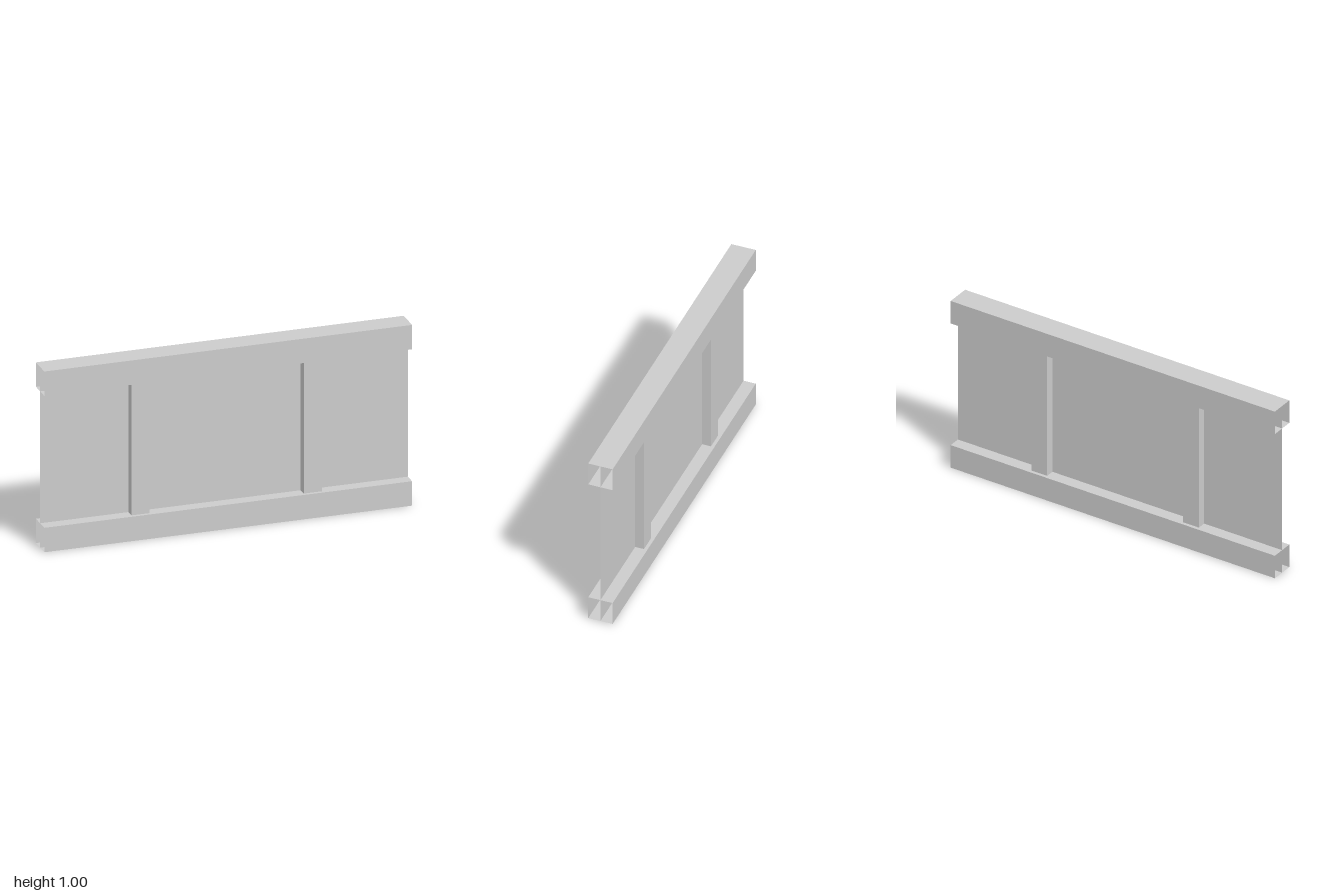
import * as THREE from 'three';

const material = new THREE.MeshStandardMaterial({
  color: 0xcccccc, flatShading: true, side: THREE.DoubleSide,
});

const LENGTH = 2, HEIGHT = 1;
const RAIL = 0.135;      // square section of the rails
const POST = 0.098;      // square section of the posts

// Square, thin-walled tube along y, open at both ends
function squareTube(size, length) {
  const r = size * Math.SQRT1_2;
  const tube = new THREE.CylinderGeometry(r, r, length, 4, 1, true).rotateY(Math.PI / 4).toNonIndexed();
  tube.computeVertexNormals();
  return tube;
}

function addPart(group, name, geometry, x, y) {
  const mesh = new THREE.Mesh(geometry, material);
  mesh.name = name;
  mesh.position.set(x, y, 0);
  group.add(mesh);
}

export function createModel() {
  const group = new THREE.Group();
  group.name = 'fencePanel';

  // Thin sheet running through the middle of the rails
  addPart(group, 'sheet', new THREE.PlaneGeometry(LENGTH, HEIGHT), 0, HEIGHT / 2);

  // Hollow rails along the bottom and top
  const rail = squareTube(RAIL, LENGTH).rotateZ(Math.PI / 2);
  addPart(group, 'bottomRail', rail, 0, RAIL / 2);
  addPart(group, 'topRail', rail, 0, HEIGHT - RAIL / 2);

  // Upright posts between the rails
  const post = squareTube(POST, HEIGHT - 2 * RAIL);
  addPart(group, 'rightPost', post, -0.47, HEIGHT / 2);
  addPart(group, 'leftPost', post, 0.466, HEIGHT / 2);

  return group;
}
